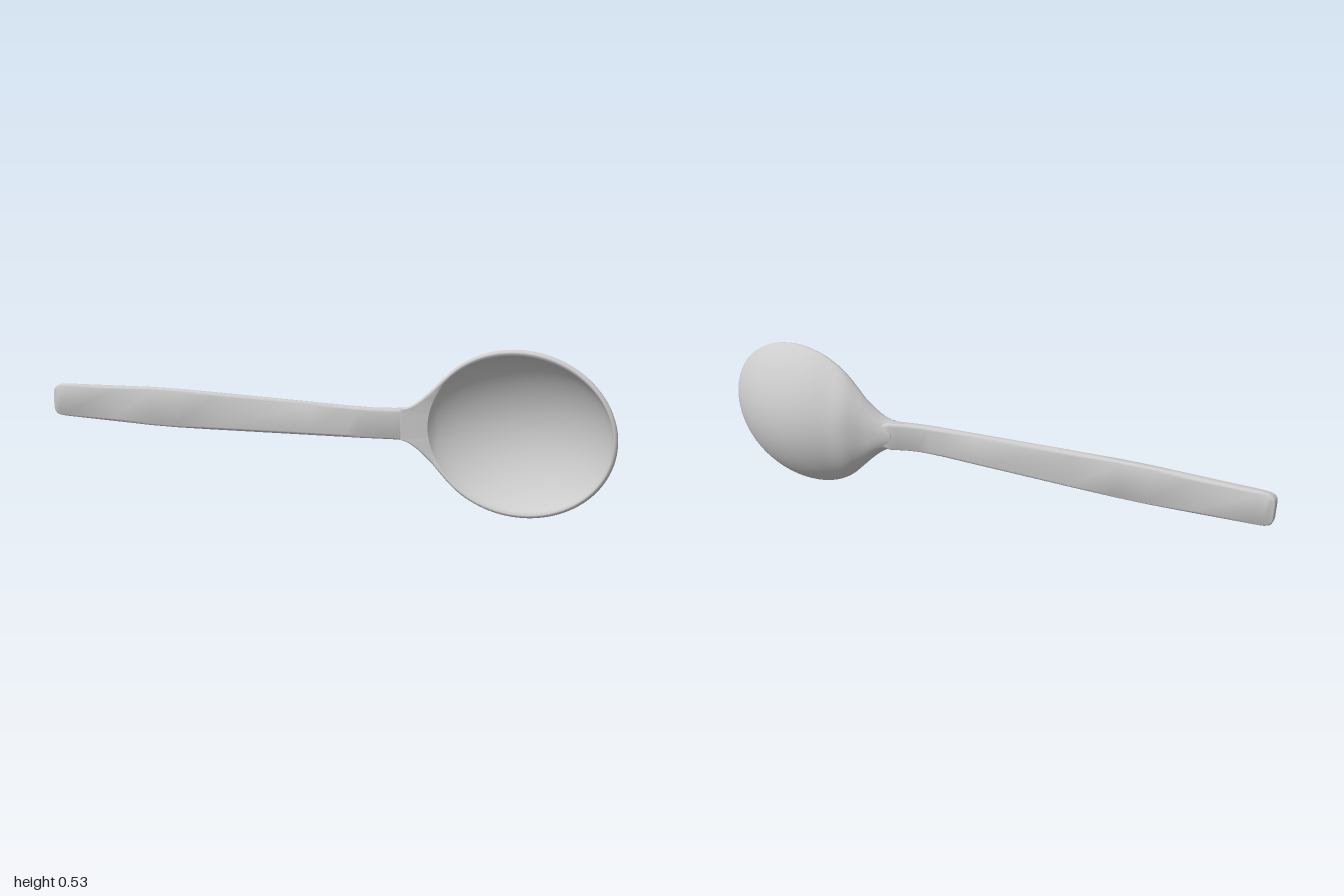
import * as THREE from 'three';
import { toCreasedNormals } from 'three/addons/utils/BufferGeometryUtils.js';

const CX = 0.69, CY = 0.266, RX = 0.31, RY = 0.266; // bowl outline ellipse
const IX = 0.298, IY = 0.248;                       // inner edge of the rim
const NECK = 0.3, JOIN = 0.45;                      // the flare runs between these

// Skin a list of closed rings of points
function skin(rings) {
  const n = rings[0].length, pos = [], idx = [];
  rings.forEach((ring) => ring.forEach((p) => pos.push(p[0], p[1], p[2])));
  for (let i = 0; i < rings.length - 1; i++) {
    for (let j = 0; j < n; j++) {
      const a = i * n + j, d = i * n + (j + 1) % n, b = a + n, c = d + n;
      idx.push(a, b, c, a, c, d);
    }
  }
  const g = new THREE.BufferGeometry();
  g.setAttribute('position', new THREE.Float32BufferAttribute(pos, 3));
  g.setIndex(idx);
  g.computeVertexNormals();
  return g;
}

// Half width of the bowl and its flare into the neck
function halfWidth(x) {
  const ell = (v) => RY * Math.sqrt(Math.max(0, 1 - ((v - CX) / RX) ** 2));
  if (x >= JOIN) return ell(x);
  const L = JOIN - NECK, t = Math.max(0, (x - NECK) / L), t2 = t * t, t3 = t2 * t;
  return 0.051 * (2 * t3 - 3 * t2 + 1) + 0.08 * L * (t3 - 2 * t2 + t)
    + ell(JOIN) * (3 * t2 - 2 * t3) + 0.95 * L * (t3 - t2);
}

// Height of the slightly tilted rim, rising into the neck
const rimZ = (x) => -0.012 + (x - 0.4) * 0.037 + 0.24 * Math.max(0, 0.41 - x);

// Back of the bowl: a rounded cap merged with the neck's ridge
function backZ(x, y) {
  const edge = rimZ(x) - 0.012;
  const te = Math.min(1, ((x - CX) / RX) ** 2 + (y / RY) ** 2);
  const cap = 0.134 * (1 - te) ** 0.78;
  const fade = 1 - THREE.MathUtils.smoothstep(x, 0.44, 0.6);
  const ridge = Math.max(0, edge + 0.03 + 0.4 * (x - NECK)) * fade;
  const across = Math.min(1, Math.abs(y) / Math.max(halfWidth(x), 1e-4));
  const neck = ridge * (1 - across ** 2.5) ** 0.6;
  return edge - (cap ** 4 + neck ** 4) ** 0.25;
}

function bowlGeometry() {
  // Outline from the tip round to the neck, then mirrored
  const half = [];
  const a1 = Math.acos((JOIN - CX) / RX);
  for (let i = 0; i <= 48; i++) {
    const a = a1 * i / 48;
    half.push([RX * Math.cos(a), RY * Math.sin(a)]);
  }
  for (let i = 1; i <= 20; i++) {
    const x = JOIN + (NECK - JOIN) * i / 20;
    half.push([x - CX, halfWidth(x)]);
  }
  for (let i = 1; i <= 4; i++) half.push([NECK - CX, 0.051 * (1 - i / 4)]);
  const outline = half.concat(half.slice(1, -1).reverse().map(([x, y]) => [x, -y]));

  const rings = [];
  const ring = (f) => rings.push(outline.map(([x, y]) => {
    const [s, z] = f(x, y);
    return [CX + x * s, CY + y * s, z(CX + x * s, y * s)];
  }));
  // Hollow
  for (let i = 0; i <= 24; i++) {
    const t = Math.sin(Math.PI / 2 * i / 24);
    ring((x, y) => [t / Math.hypot(x / IX, y / IY),
      (px) => rimZ(px) - 0.004 - 0.128 * Math.max(0, 1 - t * t) ** 0.78]);
  }
  // Rounded rim
  for (let i = 0; i <= 5; i++) {
    const q = Math.PI / 2 * i / 5, r = 0.011;
    ring((x, y) => [1 - r * (1 - Math.sin(q)) / Math.hypot(x, y),
      (px) => rimZ(px) - 0.012 * (1 - Math.cos(q))]);
  }
  // Back
  for (let i = 1; i <= 36; i++) {
    const s = Math.cos(Math.PI / 2 * i / 36);
    ring(() => [s, backZ]);
  }
  return skin(rings);
}

function handleGeometry() {
  // Stations: x, half width, front z, back z
  const stations = [
    [-1, 0.036, 0.146, 0.116], [-0.997, 0.045, 0.147, 0.115],
    [-0.99, 0.052, 0.147, 0.114], [-0.975, 0.057, 0.146, 0.113],
    [-0.95, 0.059, 0.144, 0.111], [-0.75, 0.064, 0.125, 0.092],
    [-0.6, 0.068, 0.111, 0.079], [-0.5, 0.068, 0.102, 0.070],
    [-0.35, 0.065, 0.088, 0.057], [0, 0.056, 0.056, 0.026],
    [0.12, 0.053, 0.045, 0.016], [0.17, 0.052, 0.040, 0.010],
    [0.21, 0.051, 0.034, 0.003], [0.25, 0.051, 0.024, -0.009],
    [0.28, 0.051, 0.016, -0.021], [0.305, 0.052, 0.0095, -0.031],
    [0.34, 0.045, -0.004, -0.038],
  ];
  const rings = stations.map(([x, w, zf, zb]) => {
    const pts = [], r = 0.011, h = (zf - zb) / 2, zc = (zf + zb) / 2;
    for (let k = 0; k < 4; k++) {
      const sy = k < 2 ? 1 : -1, sz = k === 0 || k === 3 ? 1 : -1;
      for (let i = 0; i <= 4; i++) {
        const a = (k + i / 4) * Math.PI / 2;
        pts.push([x, CY + sy * (w - r) + r * Math.sin(a), zc + sz * (h - r) + r * Math.cos(a)]);
      }
    }
    return pts;
  });
  // Close both ends
  const cap = ([x, , zf, zb]) => rings[0].map(() => [x, CY, (zf + zb) / 2]);
  rings.unshift(cap(stations[0]));
  rings.push(cap(stations[stations.length - 1]));
  return toCreasedNormals(skin(rings), 0.7);
}

export function createModel() {
  const group = new THREE.Group();
  group.name = 'spoon';
  const material = new THREE.MeshStandardMaterial({ color: 0xcccccc });
  const add = (name, geometry) => {
    const mesh = new THREE.Mesh(geometry, material);
    mesh.name = name;
    group.add(mesh);
  };
  add('bowl', bowlGeometry());
  add('handle', handleGeometry());
  return group;
}
